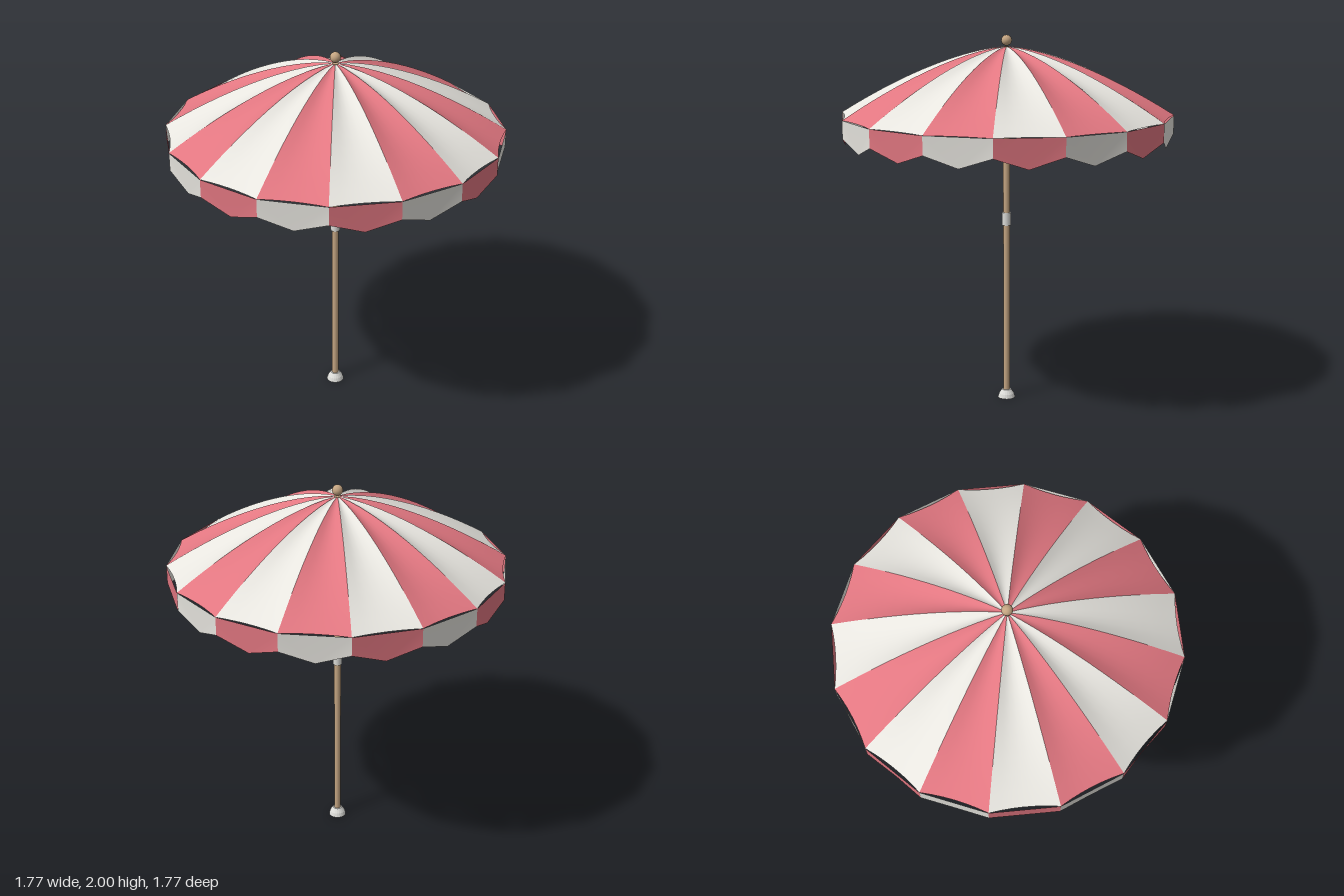
import * as THREE from 'three';

const SIDES = 16;
const STEP = (Math.PI * 2) / SIDES;
const R = 0.883, RIM_Y = 1.586, TOP_Y = 1.94, SAG = 0.014;

// Height of the canopy along a rib, t = 0 at the crown and 1 at the rim
const ribY = (t) => TOP_Y - (TOP_Y - RIM_Y) * Math.pow(t, 1.55);

// One cloth gore between two ribs, dipping slightly in the middle
function goreGeometry(rows = 12, cols = 6) {
  const pos = [], index = [];
  for (let i = 0; i <= rows; i++) {
    const t = Math.max(i / rows, 0.008);
    for (let j = 0; j <= cols; j++) {
      const u = j / cols, dip = 4 * u * (1 - u);
      const x = R * t * Math.sin(STEP) * u;
      const z = R * t * (1 - u + Math.cos(STEP) * u);
      const pull = 1 - (SAG * dip) / R;
      const y = ribY(t) - 0.022 * dip * Math.sin(Math.PI * t);
      pos.push(x * pull, y, z * pull);
      if (i < rows && j < cols) {
        const a = i * (cols + 1) + j, b = a + cols + 1;
        index.push(a, b, b + 1, a, b + 1, a + 1);
      }
    }
  }
  return build(pos, index);
}

// One hanging flap: straight top edge, pointed bottom tucked slightly inward
function flapGeometry() {
  const at = (r, a, y) => [r * Math.sin(a), y, r * Math.cos(a)];
  const tip = R * Math.cos(STEP / 2) - SAG;
  const pos = [
    ...at(R, 0, RIM_Y), ...at(R, 0, 1.49), ...at(tip, STEP / 2, 1.432),
    ...at(R, STEP, 1.49), ...at(R, STEP, RIM_Y),
  ];
  return build(pos, [0, 1, 2, 0, 2, 4, 4, 2, 3]);
}

function build(pos, index) {
  const g = new THREE.BufferGeometry();
  g.setAttribute('position', new THREE.Float32BufferAttribute(pos, 3));
  g.setIndex(index);
  g.computeVertexNormals();
  return g;
}

export function createModel() {
  const model = new THREE.Group();
  model.name = 'parasol';

  const material = (name, color, side = THREE.FrontSide) => {
    const m = new THREE.MeshStandardMaterial({ color, side });
    m.name = name;
    return m;
  };
  const red = material('red cloth', 0xe27781, THREE.DoubleSide);
  const white = material('white cloth', 0xe8e6e0, THREE.DoubleSide);
  const wood = material('wood', 0xc4a582);
  const metal = material('pale metal', 0xdcdcd8);
  const steel = material('rib steel', 0x8c8c88);

  const add = (name, geometry, mat, y = 0, parent = model) => {
    const mesh = new THREE.Mesh(geometry, mat);
    mesh.name = name;
    mesh.position.y = y;
    parent.add(mesh);
    return mesh;
  };

  // Pole, fittings and finial
  add('pole', new THREE.CylinderGeometry(0.018, 0.018, 1.92, 16), wood, 0.98);
  add('poleJoint', new THREE.CylinderGeometry(0.025, 0.025, 0.07, 16), metal, 1.015);
  add('slidingHub', new THREE.CylinderGeometry(0.026, 0.026, 0.08, 16), metal, 1.515);
  add('finial', new THREE.SphereGeometry(0.028, 20, 14), wood, 1.972);

  // Flared foot
  const foot = [[0, 0], [0.048, 0], [0.041, 0.022], [0.025, 0.045], [0, 0.045]];
  const footGeo = new THREE.LatheGeometry(foot.map((p) => new THREE.Vector2(...p)), 20).toNonIndexed();
  footGeo.computeVertexNormals();
  add('foot', footGeo, metal);

  // Canopy gores and flaps, in opposite alternating colours
  const canopy = new THREE.Group();
  canopy.name = 'canopy';
  const valance = new THREE.Group();
  valance.name = 'valance';
  const frame = new THREE.Group();
  frame.name = 'frame';
  model.add(canopy, valance, frame);

  const gore = goreGeometry(), flap = flapGeometry();
  const ribPath = [0.02, 0.2, 0.4, 0.6, 0.8, 0.985].map(
    (t) => new THREE.Vector3(0, ribY(t) - 0.007, R * t));
  const rib = new THREE.TubeGeometry(new THREE.CatmullRomCurve3(ribPath), 14, 0.005, 6);
  const strutT = 0.59 / R;
  const strut = new THREE.TubeGeometry(new THREE.LineCurve3(
    new THREE.Vector3(0, 1.535, 0.02),
    new THREE.Vector3(0, ribY(strutT) - 0.008, 0.59)), 1, 0.004, 6);

  for (let k = 0; k < SIDES; k++) {
    const odd = k % 2 === 1;
    const parts = [
      add('gore', gore, odd ? red : white, 0, canopy),
      add('flap', flap, odd ? white : red, 0, valance),
      add('rib', rib, steel, 0, frame),
    ];
    // Struts brace every second rib
    if (!odd) parts.push(add('strut', strut, steel, 0, frame));
    for (const p of parts) p.rotation.y = k * STEP;
  }
  return model;
}
